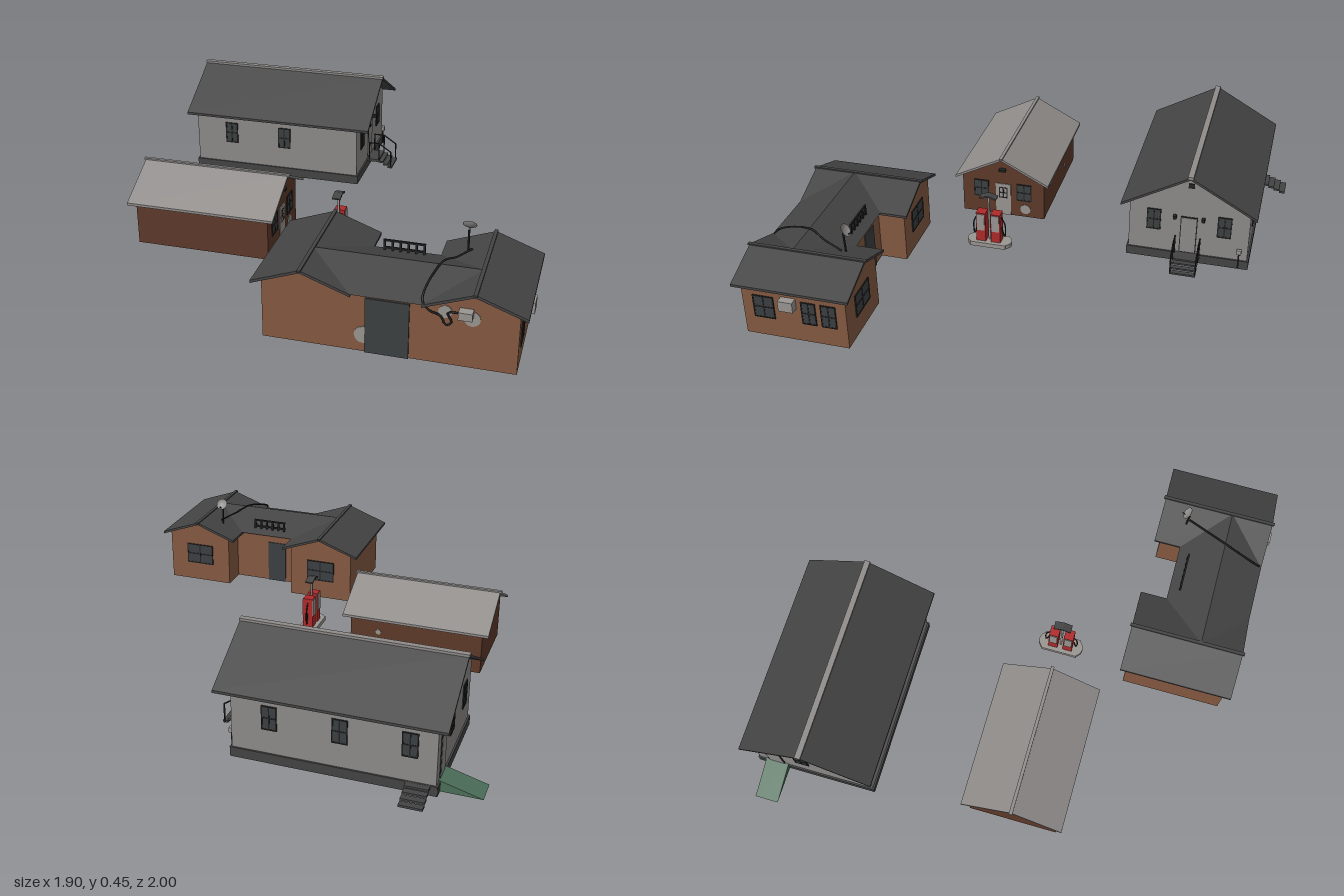
import * as THREE from 'three';

const mat = (name, color, double = false) => {
  const m = new THREE.MeshStandardMaterial({ color });
  m.name = name;
  if (double) m.side = THREE.DoubleSide;
  return m;
};
const M = {
  plaster: mat('grey plaster', 0x8e8a8a, true),
  slate: mat('dark roofing', 0x444444, true),
  sheet: mat('light sheet roofing', 0x8f8c8a, true),
  brick: mat('dark brick', 0x5e3a2a, true),
  tan: mat('tan brick', 0x855a42, true),
  glass: mat('dark glass', 0x3c4042),
  black: mat('black iron', 0x222222),
  pale: mat('pale metal', 0x9a9692),
  green: mat('green boards', 0x4c6e59),
  red: mat('red paint', 0xb02a2a),
};

function add(parent, name, geo, material, x = 0, y = 0, z = 0) {
  const m = new THREE.Mesh(geo, material);
  m.name = name;
  m.position.set(x, y, z);
  parent.add(m);
  return m;
}
const box = (p, name, material, x, y, z, w, h, d) =>
  add(p, name, new THREE.BoxGeometry(w, h, d), material, x, y, z);

function group(parent, name) {
  const g = new THREE.Group();
  g.name = name;
  parent.add(g);
  return g;
}

// Flat wall from an outline of [u, y]; axis is the wall's normal, u runs along the other axis
function wall(p, material, axis, at, pts) {
  const shape = new THREE.Shape(pts.map(([u, y]) => new THREE.Vector2(u, y)));
  const m = add(p, 'wall', new THREE.ShapeGeometry(shape), material, axis === 'x' ? at : 0, 0, axis === 'z' ? at : 0);
  if (axis === 'x') m.rotation.y = -Math.PI / 2;
}
const rect = (a, b, h) => [[a, 0], [b, 0], [b, h], [a, h]];
const gable = (a, b, h, top) => [[a, 0], [b, 0], [b, h], [(a + b) / 2, top], [a, h]];

// Thin plate straddling a wall, seen on both sides
function plate(p, name, material, axis, at, u, y, w, h, t = 0.007) {
  return axis === 'x' ? box(p, name, material, at, y, u, t, h, w) : box(p, name, material, u, y, at, w, h, t);
}
function windowPane(p, axis, at, u, y, w, h) {
  const g = group(p, 'window');
  plate(g, 'glass', M.glass, axis, at, u, y, w, h, 0.006);
  for (const s of [-1, 0, 1]) {
    plate(g, 'frame', M.black, axis, at, u + s * w / 2, y, 0.005, h, 0.009);
    plate(g, 'frame', M.black, axis, at, u, y + s * h / 2, w + 0.005, 0.005, 0.009);
  }
}
function patch(p, axis, at, u, y, r) {
  const m = add(p, 'wallPatch', new THREE.CylinderGeometry(r, r, 0.006, 12), M.pale,
    axis === 'x' ? at : u, y, axis === 'x' ? u : at);
  m.rotation[axis === 'x' ? 'z' : 'x'] = Math.PI / 2;
}

// Two-sloped roof slab, ridge along z or x, from start a to end b
function gableRoof(p, material, axis, mid, half, eave, ridge, a, b) {
  const t = 0.011;
  const shape = new THREE.Shape([[-half, eave - t], [0, ridge - t], [half, eave - t],
    [half, eave], [0, ridge], [-half, eave]].map(([u, y]) => new THREE.Vector2(u, y)));
  const geo = new THREE.ExtrudeGeometry(shape, { depth: b - a, bevelEnabled: false });
  const m = add(p, 'roof', geo, material, axis === 'z' ? mid : a, 0, axis === 'z' ? a : mid);
  if (axis === 'x') m.rotation.y = Math.PI / 2;
}
function quad(p, name, material, pts) {
  const geo = new THREE.BufferGeometry();
  geo.setAttribute('position', new THREE.Float32BufferAttribute(pts.flat(), 3));
  geo.setIndex([0, 1, 2, 0, 2, 3]);
  geo.computeVertexNormals();
  add(p, name, geo, material);
}
function rod(p, name, material, pts, r) {
  const curve = new THREE.CatmullRomCurve3(pts.map(v => new THREE.Vector3(...v)));
  add(p, name, new THREE.TubeGeometry(curve, pts.length * 5, r, 6), material);
}

function greyHouse(root) {
  const g = group(root, 'greyHouse');
  const x0 = -0.79, x1 = -0.01, z0 = -0.89, z1 = -0.38, zm = -0.635;
  for (const x of [x0, x1]) wall(g, M.plaster, 'x', x, gable(z0, z1, 0.287, 0.434));
  for (const z of [z0, z1]) wall(g, M.plaster, 'z', z, rect(x0, x1, 0.287));
  for (const z of [z0, z1]) plate(g, 'foundation', M.slate, 'z', z + Math.sign(z - zm) * 0.004, -0.4, 0.02, 0.79, 0.04);
  for (const x of [x0, x1]) plate(g, 'foundation', M.slate, 'x', x + Math.sign(x + 0.4) * 0.004, zm, 0.02, 0.52, 0.04);
  gableRoof(g, M.slate, 'x', zm, 0.285, 0.283, 0.443, -0.83, 0.05);
  box(g, 'ridgeCap', M.sheet, -0.39, 0.442, zm, 0.885, 0.01, 0.024);
  // Windows, doors and vents
  for (const x of [-0.16, -0.43, -0.69]) windowPane(g, 'z', z0, x, 0.19, 0.055, 0.095);
  for (const x of [-0.62, -0.36]) windowPane(g, 'z', z1, x, 0.19, 0.055, 0.095);
  for (const z of [-0.485, -0.785]) windowPane(g, 'x', x1, z, 0.19, 0.055, 0.095);
  for (const z of [-0.48, -0.68]) windowPane(g, 'x', x0, z, 0.19, 0.055, 0.095);
  for (const [x, z] of [[x1, zm], [x0, -0.81]]) {
    plate(g, 'doorFrame', M.black, 'x', x, z, 0.132, 0.072, 0.176, 0.006);
    plate(g, 'door', M.plaster, 'x', x, z, 0.131, 0.064, 0.168, 0.009);
  }
  for (const x of [x0, x1]) plate(g, 'atticVent', M.black, 'x', x, zm, 0.372, 0.025, 0.022);
  for (const z of [-0.575, -0.695]) box(g, 'wallLamp', M.black, 0, 0.218, z, 0.02, 0.014, 0.014);
  // Porch with steps and railings
  const porch = group(g, 'porch');
  box(porch, 'landing', M.slate, 0.02, 0.035, zm, 0.06, 0.012, 0.11);
  for (let i = 0; i < 3; i++) box(porch, 'step', M.slate, 0.06 + i * 0.022, 0.03 - i * 0.011, zm, 0.022, 0.008, 0.11);
  for (const z of [-0.582, -0.688]) {
    rod(porch, 'handrail', M.black, [[0, 0.125, z], [0.05, 0.125, z]], 0.003);
    rod(porch, 'handrail', M.black, [[0.05, 0.125, z], [0.11, 0.085, z]], 0.003);
    for (const [x, y, h] of [[0.003, 0.08, 0.09], [0.05, 0.08, 0.09], [0.108, 0.045, 0.085]])
      box(porch, 'railPost', M.black, x, y, z, 0.005, h, 0.005);
  }
  // Rear steps, side ramp and meter
  for (let i = 0; i < 4; i++) box(g, 'rearStep', M.slate, -0.725, 0.035 - i * 0.01, -0.91 - i * 0.026, 0.09, 0.009, 0.026);
  const ramp = new THREE.Shape([[-0.955, 0], [-0.79, 0], [-0.79, 0.046]].map(v => new THREE.Vector2(...v)));
  add(g, 'ramp', new THREE.ExtrudeGeometry(ramp, { depth: 0.1, bevelEnabled: false }), M.green, 0, 0, -0.86);
  box(g, 'meterPost', M.black, 0.004, 0.05, -0.855, 0.006, 0.08, 0.006);
  box(g, 'meter', M.pale, 0.006, 0.09, -0.855, 0.014, 0.02, 0.02);
}

function brickStore(root) {
  const g = group(root, 'brickStore');
  const x0 = -0.75, x1 = -0.175, z0 = 0.04, z1 = 0.42, zm = 0.23;
  for (const x of [x0, x1]) wall(g, M.brick, 'x', x, gable(z0, z1, 0.193, 0.292));
  for (const z of [z0, z1]) wall(g, M.brick, 'z', z, rect(x0, x1, 0.193));
  gableRoof(g, M.sheet, 'x', zm, 0.215, 0.192, 0.303, -0.78, -0.145);
  box(g, 'ridgeCap', M.sheet, -0.462, 0.302, zm, 0.65, 0.008, 0.014);
  for (const z of [0.133, 0.333]) windowPane(g, 'x', x1, z, 0.125, 0.065, 0.08);
  plate(g, 'door', M.pale, 'x', x1, zm, 0.08, 0.07, 0.16);
  windowPane(g, 'x', x1, zm, 0.115, 0.035, 0.05);
  box(g, 'doorLamp', M.black, -0.165, 0.235, zm, 0.02, 0.01, 0.03);
  patch(g, 'x', x1, 0.127, 0.04, 0.024);
  for (const [x, y] of [[-0.3, 0.12], [-0.56, 0.07]]) patch(g, 'z', z0, x, y, 0.012);
}

function tanShop(root) {
  const g = group(root, 'tanShop');
  const zf = 0.96, zb = 0.53, zc = 0.645, h = 0.243;
  // Front wall with two gables, and the two rear wings
  wall(g, M.tan, 'z', zf, [[-0.015, 0], [0.915, 0], [0.915, h], [0.76, 0.3], [0.61, h], [0.285, h], [0.135, 0.3], [-0.015, h]]);
  for (const [a, b] of [[-0.015, 0.285], [0.61, 0.915]]) {
    wall(g, M.tan, 'z', zb, gable(a, b, h, 0.3));
    windowPane(g, 'z', zb, (a + b) / 2, 0.137, 0.13, 0.095);
  }
  wall(g, M.tan, 'z', zc, rect(0.285, 0.61, h));
  for (const x of [-0.015, 0.915]) wall(g, M.tan, 'x', x, rect(zb, zf, h));
  for (const x of [0.285, 0.61]) wall(g, M.tan, 'x', x, rect(zb, zc, h));
  // Wing roofs and the cross roof between them
  for (const x of [0.135, 0.76]) {
    gableRoof(g, M.slate, 'z', x, 0.185, 0.242, 0.31, 0.505, 0.985);
    box(g, 'ridgeCap', M.slate, x, 0.309, 0.745, 0.014, 0.008, 0.495);
  }
  quad(g, 'frontSlope', M.slate, [[0.32, 0.242, 0.985], [0.575, 0.242, 0.985], [0.76, 0.31, 0.805], [0.135, 0.31, 0.805]]);
  quad(g, 'rearSlope', M.slate, [[0.575, 0.242, 0.62], [0.32, 0.242, 0.62], [0.135, 0.31, 0.805], [0.76, 0.31, 0.805]]);
  // Doors, side windows and wall unit
  plate(g, 'frontDoor', M.glass, 'z', zf, 0.45, 0.112, 0.16, 0.224, 0.009);
  plate(g, 'rearDoor', M.glass, 'z', zc, 0.4, 0.1, 0.09, 0.2, 0.009);
  for (const [z, w] of [[0.872, 0.082], [0.685, 0.055], [0.603, 0.058]]) windowPane(g, 'x', 0.915, z, 0.137, w, 0.097);
  box(g, 'coolingUnit', M.pale, 0.93, 0.175, 0.765, 0.035, 0.045, 0.06);
  for (const [u, y, r] of [[0.365, 0.07, 0.035], [0.655, 0.215, 0.025], [0.75, 0.2, 0.03]]) patch(g, 'z', zf, u, y, r);
  plate(g, 'frontDoorPanel', M.glass, 'z', zf + 0.002, 0.45, 0.112, 0.16, 0.224, 0.009);
  box(g, 'wallUnit', M.pale, 0.73, 0.225, 0.98, 0.05, 0.03, 0.035);
  // Blank roof rack
  for (const y of [0.27, 0.3]) box(g, 'rackBar', M.black, 0.445, y, 0.665, 0.16, 0.007, 0.007);
  for (let i = 0; i < 6; i++) box(g, 'rackPost', M.black, 0.37 + i * 0.03, 0.278, 0.665, 0.008, 0.044, 0.008);
  // Dish and its cable
  rod(g, 'dishMast', M.black, [[0.675, 0.27, 0.62], [0.675, 0.365, 0.625]], 0.004);
  const dish = add(g, 'dish', new THREE.SphereGeometry(0.05, 16, 5, 0, Math.PI * 2, 0, 0.57), M.sheet, 0.675, 0.405, 0.578);
  dish.rotation.x = 2.2;
  rod(g, 'dishArm', M.black, [[0.675, 0.352, 0.615], [0.675, 0.375, 0.588]], 0.002);
  rod(g, 'cable', M.black, [[0.69, 0.29, 0.63], [0.65, 0.3, 0.72], [0.61, 0.316, 0.8], [0.575, 0.255, 0.97],
    [0.6, 0.22, 0.975], [0.64, 0.2, 0.968], [0.66, 0.165, 0.968], [0.68, 0.18, 0.968], [0.665, 0.215, 0.968], [0.71, 0.225, 0.975]], 0.004);
}

function fuelIsland(root) {
  const g = group(root, 'fuelIsland');
  const x = 0.07, z = 0.222;
  box(g, 'curb', M.pale, x, 0.01, z, 0.08, 0.02, 0.16);
  for (const s of [-1, 1]) {
    add(g, 'curbEnd', new THREE.CylinderGeometry(0.04, 0.04, 0.02, 16), M.pale, x, 0.01, z + s * 0.06);
    // Pump cabinet with pale upper panels and a hose
    const pz = z + s * 0.033;
    box(g, 'pump', M.red, x, 0.09, pz, 0.045, 0.14, 0.042);
    for (const t of [-1, 1]) plate(g, 'pumpPanel', M.pale, 'x', x + t * 0.022, pz, 0.115, 0.034, 0.08);
    rod(g, 'hose', M.black, [[x, 0.14, pz + s * 0.02], [x, 0.1, pz + s * 0.038], [x, 0.04, pz + s * 0.035], [x, 0.09, pz + s * 0.022]], 0.003);
  }
  box(g, 'lampPost', M.pale, x, 0.13, z, 0.008, 0.23, 0.008);
  for (const s of [-1, 1]) {
    const lamp = box(g, 'lampHead', M.slate, x, 0.239, z + s * 0.018, 0.035, 0.007, 0.04);
    lamp.rotation.x = s * 0.3;
  }
}

export function createModel() {
  const root = new THREE.Group();
  root.name = 'roadsideBuildings';
  greyHouse(root);
  brickStore(root);
  tanShop(root);
  fuelIsland(root);
  return root;
}
